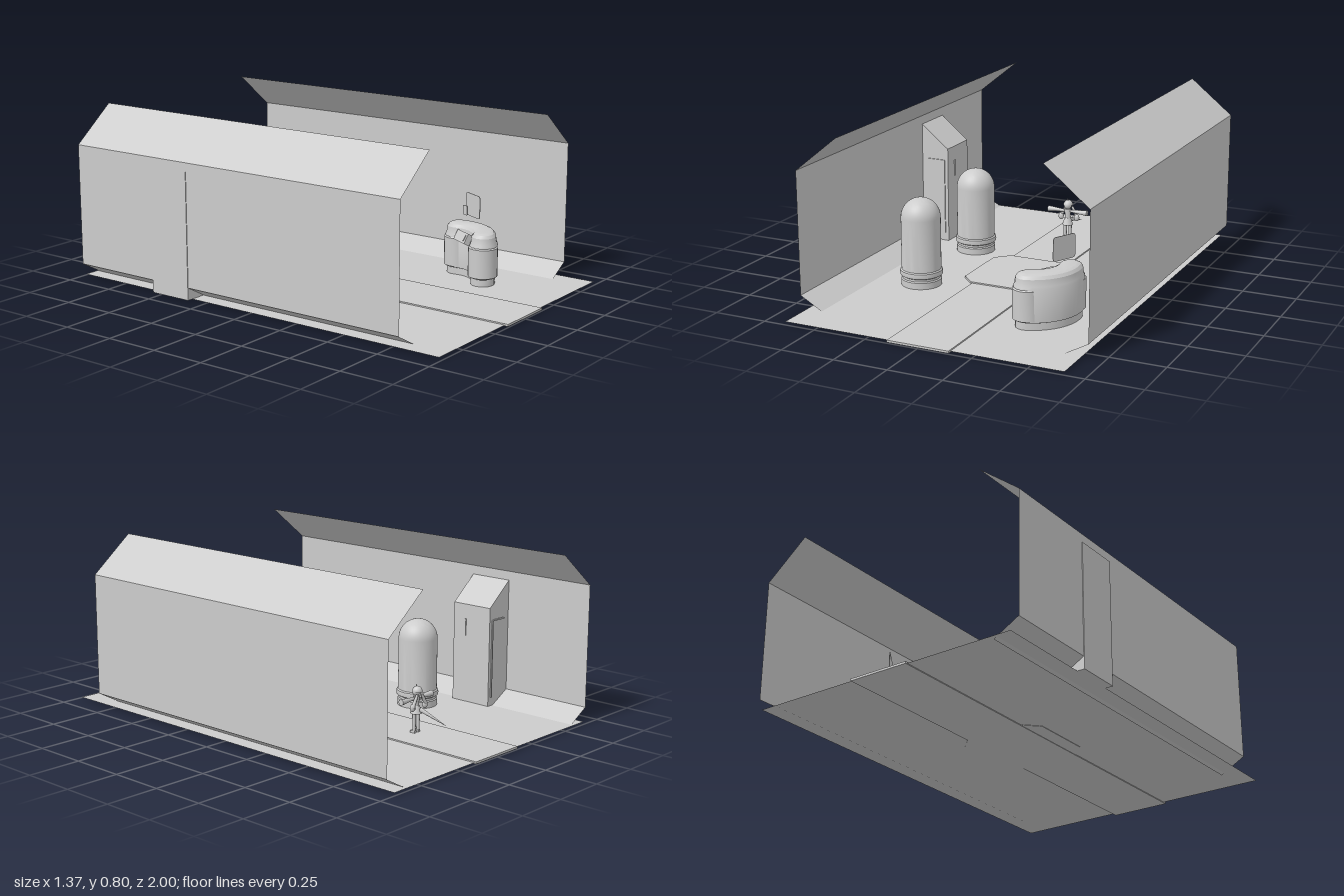
import * as THREE from 'three';
import { toCreasedNormals } from 'three/addons/utils/BufferGeometryUtils.js';

const grey = new THREE.MeshStandardMaterial({ color: 0xcccccc, side: THREE.DoubleSide });
grey.name = 'plain grey';

function add(parent, name, geometry, x = 0, y = 0, z = 0) {
  const mesh = new THREE.Mesh(geometry, grey);
  mesh.name = name;
  mesh.position.set(x, y, z);
  parent.add(mesh);
  return mesh;
}

const polygon = (pts) => new THREE.Shape(pts.map(([x, y]) => new THREE.Vector2(x, y)));
const prism = (shape, depth) => new THREE.ExtrudeGeometry(shape, { depth, bevelEnabled: false, curveSegments: 6 });
const lathe = (pts, n = 32) =>
  toCreasedNormals(new THREE.LatheGeometry(pts.map(([r, y]) => new THREE.Vector2(r, y)), n), 0.6);

function roundedRect(w, h, r) {
  const s = new THREE.Shape(), a = w / 2 - r, b = h / 2 - r;
  s.absarc(a, b, r, 0, Math.PI / 2);
  s.absarc(-a, b, r, Math.PI / 2, Math.PI);
  s.absarc(-a, -b, r, Math.PI, Math.PI * 1.5);
  s.absarc(a, -b, r, Math.PI * 1.5, Math.PI * 2);
  return s;
}

// Folded sheet wall: sloped foot, upright and inward sloping top
function wallGeometry(side) {
  const profile = [[0.565, 0], [0.685, 0.067], [0.685, 0.635], [0.48, 0.8]];
  const pos = [], z0 = -0.978, z1 = 0.812;
  for (let i = 0; i < 3; i++) {
    const [ax, ay] = profile[i], [bx, by] = profile[i + 1];
    const a = [side * ax, ay, z1], b = [side * ax, ay, z0], c = [side * bx, by, z0], d = [side * bx, by, z1];
    const quad = side > 0 ? [a, b, c, a, c, d] : [a, c, b, a, d, c];
    pos.push(...quad.flat());
  }
  const g = new THREE.BufferGeometry();
  g.setAttribute('position', new THREE.Float32BufferAttribute(pos, 3));
  g.computeVertexNormals();
  return g;
}

// Kidney outline: an arc of half thickness t with round ends, bulging to +z
const ARC = 0.17, HALF = 0.74;
function kidney(t) {
  const pts = [], n = 14, m = 8;
  for (let i = 0; i <= n; i++) {
    const a = -HALF + (2 * HALF * i) / n;
    pts.push([(ARC + t) * Math.sin(a), (ARC + t) * Math.cos(a) - ARC]);
  }
  const cap = (end, start) => {
    for (let i = 1; i < m; i++) {
      const a = start + (Math.PI * i) / m;
      pts.push([ARC * Math.sin(end) + t * Math.sin(a), ARC * Math.cos(end) - ARC + t * Math.cos(a)]);
    }
  };
  cap(HALF, HALF);
  for (let i = 0; i <= n; i++) {
    const a = HALF - (2 * HALF * i) / n;
    pts.push([(ARC - t) * Math.sin(a), (ARC - t) * Math.cos(a) - ARC]);
  }
  cap(-HALF, Math.PI - HALF);
  return pts;
}

// Loft kidney outlines through [height, half thickness] levels and close the top
function kidneyLoft(levels) {
  const pos = [], loops = levels.map(([y, t]) => kidney(t).map(([x, z]) => [x, y, z]));
  for (let k = 0; k < loops.length - 1; k++) {
    const lo = loops[k], hi = loops[k + 1];
    lo.forEach((p, i) => {
      const j = (i + 1) % lo.length;
      pos.push(...p, ...lo[j], ...hi[j], ...p, ...hi[j], ...hi[i]);
    });
  }
  const top = loops[loops.length - 1];
  const tris = THREE.ShapeUtils.triangulateShape(top.map((p) => new THREE.Vector2(p[0], -p[2])), []);
  for (const t of tris) for (const i of t) pos.push(...top[i]);
  const g = new THREE.BufferGeometry();
  g.setAttribute('position', new THREE.Float32BufferAttribute(pos, 3));
  return toCreasedNormals(g, 0.5);
}

// Curved desk with a tilted control pad on its hollow side
function console_(x, z, bx, bz) {
  const g = new THREE.Group();
  g.name = 'console';
  g.position.set(x, 0, z);
  g.rotation.y = Math.atan2(bx, bz);
  add(g, 'consoleBody', kidneyLoft([[0.01, 0.054], [0.042, 0.054], [0.045, 0.061], [0.195, 0.063],
    [0.205, 0.058], [0.235, 0.054], [0.248, 0.044], [0.254, 0.03]]));
  for (const s of [-1, 1]) {
    const ex = s * ARC * Math.sin(HALF), ez = ARC * Math.cos(HALF) - ARC;
    add(g, 'endGuard', lathe([[0.05, 0.045], [0.068, 0.05], [0.068, 0.185], [0.058, 0.195]], 24), ex, 0, ez);
  }
  const pad = new THREE.Group();
  pad.name = 'controlPad';
  pad.position.set(0, 0.205, -0.082);
  pad.rotation.x = 0.5;
  g.add(pad);
  add(pad, 'padBody', new THREE.BoxGeometry(0.1, 0.05, 0.035));
  add(pad, 'padScreen', prism(roundedRect(0.075, 0.03, 0.006), 0.004), 0, 0, -0.021);
  return g;
}

// Floating rounded screen standing between two floor points
function screen(x0, z0, x1, z1) {
  const g = new THREE.Group();
  g.name = 'floatingScreen';
  g.position.set((x0 + x1) / 2, 0.34, (z0 + z1) / 2);
  g.rotation.y = Math.atan2(z0 - z1, x1 - x0);
  const w = Math.hypot(x1 - x0, z1 - z0);
  add(g, 'screenPanel', prism(roundedRect(w, 0.108, 0.014), 0.003));
  add(g, 'sidePanel', prism(roundedRect(0.035, 0.045, 0.005), 0.003), w / 2 - 0.018, -0.03, -0.015);
  return g;
}

function capsule(z) {
  const pts = [[0, 0.01], [0.093, 0.01], [0.093, 0.04], [0.088, 0.045], [0.088, 0.055], [0.097, 0.06],
    [0.099, 0.07], [0.097, 0.082], [0.091, 0.087]];
  for (let i = 0; i <= 12; i++) {
    const a = (i / 12) * Math.PI / 2;
    pts.push([0.091 * Math.cos(a), 0.329 + 0.091 * Math.sin(a)]);
  }
  const g = new THREE.Group();
  g.name = 'capsule';
  g.position.set(-0.36, 0, z);
  add(g, 'capsuleShell', lathe(pts, 40));
  return g;
}

// Small figure with outstretched arms
function figure() {
  const g = new THREE.Group();
  g.name = 'figure';
  g.position.set(0, 0, -0.55);
  for (const s of [-1, 1]) {
    add(g, 'leg', new THREE.CylinderGeometry(0.009, 0.007, 0.09, 10), s * 0.013, 0.06, 0);
    add(g, 'foot', new THREE.BoxGeometry(0.014, 0.01, 0.026), s * 0.013, 0.019, 0.005);
    add(g, 'arm', new THREE.CylinderGeometry(0.014, 0.006, 0.09, 10), s * 0.059, 0.172, 0)
      .rotation.z = -s * Math.PI / 2;
    const lock = add(g, 'hairLock', new THREE.SphereGeometry(0.014, 10, 8), s * 0.042, 0.137, -0.015);
    lock.scale.set(1, 1.3, 0.8);
    add(g, 'hairStrand', new THREE.CylinderGeometry(0.006, 0.009, 0.06, 8), s * 0.03, 0.165, -0.018)
      .rotation.z = s * 0.5;
  }
  add(g, 'skirt', new THREE.CylinderGeometry(0.015, 0.027, 0.035, 14), 0, 0.12, 0);
  add(g, 'torso', new THREE.CylinderGeometry(0.017, 0.014, 0.05, 12), 0, 0.157, 0).scale.z = 0.75;
  add(g, 'head', new THREE.SphereGeometry(0.02, 16, 12), 0, 0.202, 0);
  add(g, 'hair', new THREE.SphereGeometry(0.023, 16, 8, 0, Math.PI * 2, 0, 1.7), 0, 0.204, -0.005);
  add(g, 'topTuft', new THREE.ConeGeometry(0.004, 0.016, 6), 0, 0.23, 0);
  const tail = add(g, 'tail', new THREE.ConeGeometry(0.012, 0.16, 8), 0, 0.1, -0.1);
  tail.rotation.x = -Math.PI / 2 - 0.3;
  tail.scale.x = 0.4;
  return g;
}

// Wall cabinet with a slanted top and trim strips
function cabinet() {
  const g = new THREE.Group();
  g.name = 'wallCabinet';
  add(g, 'cabinetBody', prism(polygon([[-0.688, 0.01], [-0.545, 0.01], [-0.545, 0.48], [-0.688, 0.595]]), 0.21),
    0, 0, -0.53);
  for (const z of [-0.318, -0.532]) {
    add(g, 'trimUpright', new THREE.BoxGeometry(0.007, 0.37, 0.006), -0.565, 0.235, z);
    add(g, 'trimTop', new THREE.BoxGeometry(0.085, 0.007, 0.006), -0.607, 0.42, z);
  }
  add(g, 'handle', new THREE.BoxGeometry(0.005, 0.08, 0.006), -0.543, 0.37, -0.39);
  return g;
}

export function createModel() {
  const model = new THREE.Group();
  model.name = 'room';

  // Floor, walkway and chamfered centre platform
  add(model, 'floor', new THREE.PlaneGeometry(1.31, 1.975).rotateX(-Math.PI / 2), 0, 0.008, -0.003);
  add(model, 'walkway', new THREE.BoxGeometry(0.29, 0.01, 2), 0, 0.009, 0);
  const a = 0.213, b = 0.15;
  const plate = polygon([[a, -b], [a, b], [b, a], [-b, a], [-a, b], [-a, -b], [-b, -a], [b, -a]]);
  add(model, 'platform', prism(plate, 0.014).rotateX(-Math.PI / 2), 0, 0.006, 0);

  for (const s of [-1, 1]) add(model, s > 0 ? 'leftWall' : 'rightWall', wallGeometry(s));

  model.add(cabinet(), capsule(-0.255), capsule(0.3), figure());
  model.add(console_(0.407, 0.513, 0.87, 0.48), console_(0.393, -0.458, 0.78, -0.62));
  model.add(screen(0.395, 0.52, 0.45, 0.41), screen(0.37, -0.51, 0.44, -0.41));
  return model;
}
